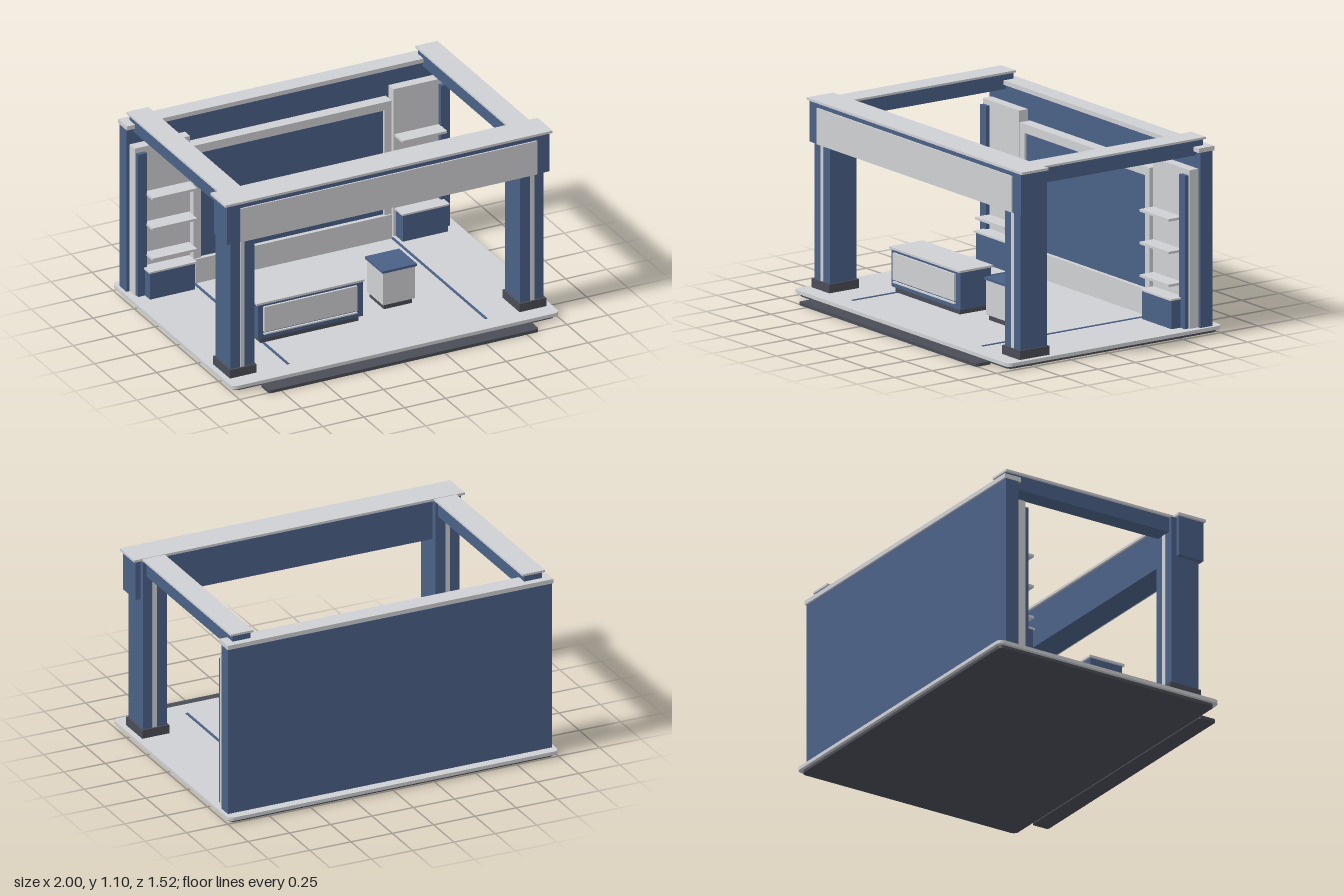
import * as THREE from 'three';

export function createModel() {
  const model = new THREE.Group();
  model.name = 'exhibitionBooth';

  const mat = (name, color) => {
    const m = new THREE.MeshStandardMaterial({ color });
    m.name = name;
    return m;
  };
  const blue = mat('slateBlue', 0x4a6186);
  const light = mat('lightGrey', 0xcfd0d3);
  const dark = mat('charcoal', 0x4a4d56);

  // box given by its minimum and maximum on each axis
  const box = (name, material, x0, x1, y0, y1, z0, z1, parent = model) => {
    const mesh = new THREE.Mesh(new THREE.BoxGeometry(x1 - x0, y1 - y0, z1 - z0), material);
    mesh.position.set((x0 + x1) / 2, (y0 + y1) / 2, (z0 + z1) / 2);
    mesh.name = name;
    parent.add(mesh);
    return mesh;
  };

  // box repeated on both sides of the booth
  const pair = (name, material, x0, x1, ...rest) => {
    box(name + 'Left', material, x0, x1, ...rest);
    box(name + 'Right', material, -x1, -x0, ...rest);
  };

  // flat slab with rounded corners in plan
  const slab = (name, material, x0, x1, y0, y1, z0, z1, r) => {
    const s = new THREE.Shape();
    s.absarc(x1 - r, -z0 - r, r, 0, Math.PI / 2);
    s.absarc(x0 + r, -z0 - r, r, Math.PI / 2, Math.PI);
    s.absarc(x0 + r, -z1 + r, r, Math.PI, Math.PI * 1.5);
    s.absarc(x1 - r, -z1 + r, r, Math.PI * 1.5, Math.PI * 2);
    s.closePath();
    const g = new THREE.ExtrudeGeometry(s, { depth: y1 - y0, bevelEnabled: false, curveSegments: 6 });
    g.rotateX(-Math.PI / 2).translate(0, y0, 0);
    const mesh = new THREE.Mesh(g, material);
    mesh.name = name;
    model.add(mesh);
  };

  // floor, its underside and the front step
  slab('floorDeck', light, -1, 1, 0.02, 0.04, -0.765, 0.67, 0.035);
  slab('floorBase', dark, -0.98, 0.98, 0.003, 0.02, -0.745, 0.65, 0.03);
  slab('frontStep', dark, -0.825, 0.825, 0, 0.018, 0.655, 0.76, 0.015);
  pair('floorStripe', blue, 0.597, 0.613, 0.038, 0.043, -0.56, 0.56);

  // back wall with cap
  box('backWall', blue, -0.98, 0.98, 0.04, 1.03, -0.71, -0.63);
  box('backWallCap', light, -0.985, 0.985, 1.025, 1.05, -0.72, -0.615);

  // display screen, its frame and the low plinth band
  box('displayPanel', blue, -0.57, 0.57, 0.18, 0.83, -0.635, -0.575);
  pair('displayFrameSide', light, 0.56, 0.605, 0.04, 0.82, -0.635, -0.56);
  box('displayFrameTop', light, -0.605, 0.605, 0.82, 0.87, -0.635, -0.56);
  box('displayFrameBase', light, -0.6, 0.6, 0.04, 0.185, -0.635, -0.55);

  // side shelving bays
  pair('shelfPanel', light, 0.622, 0.96, 0.04, 0.93, -0.635, -0.57);
  pair('shelfUpright', blue, 0.897, 0.952, 0.04, 0.9, -0.575, -0.545);
  [0.283, 0.467, 0.65].forEach((y, i) =>
    pair('shelf' + (i + 1), light, 0.628, 0.9, y - 0.007, y + 0.007, -0.575, -0.475));
  pair('cabinet', blue, 0.635, 0.91, 0.04, 0.2, -0.575, -0.487);
  pair('cabinetTop', light, 0.628, 0.917, 0.2, 0.21, -0.575, -0.478);

  // front posts with inlaid light strips
  pair('postBase', dark, 0.803, 0.967, 0.04, 0.09, 0.37, 0.57);
  pair('frontPost', blue, 0.812, 0.957, 0.09, 1.085, 0.382, 0.558);
  pair('postStrip', light, 0.872, 0.899, 0.09, 1.08, 0.379, 0.561);

  // side beams
  pair('sideBeam', blue, 0.828, 0.936, 1.0, 1.087, -0.68, 0.42);
  pair('sideBeamCap', light, 0.815, 0.95, 1.086, 1.098, -0.688, 0.405);

  // front fascia
  box('fascia', blue, -0.985, 0.985, 0.855, 1.086, 0.415, 0.573);
  box('fasciaCap', light, -1, 1, 1.086, 1.1, 0.402, 0.58);
  box('fasciaPanel', light, -0.905, 0.905, 0.857, 1.06, 0.573, 0.582);

  // reception counter
  const counter = new THREE.Group();
  counter.name = 'receptionCounter';
  model.add(counter);
  box('counterKick', dark, -0.62, -0.02, 0.04, 0.07, 0.08, 0.26, counter);
  box('counterBody', blue, -0.64, 0, 0.07, 0.28, 0.065, 0.272, counter);
  box('counterTop', light, -0.652, 0.006, 0.28, 0.292, 0.055, 0.28, counter);
  box('counterFrontPanel', light, -0.61, -0.04, 0.115, 0.265, 0.272, 0.285, counter);
  box('counterTrim', light, -0.61, -0.04, 0.097, 0.105, 0.272, 0.285, counter);

  // small podium
  const podium = new THREE.Group();
  podium.name = 'podium';
  model.add(podium);
  box('podiumKick', dark, 0.165, 0.338, 0.04, 0.07, 0.03, 0.2, podium);
  box('podiumBody', light, 0.155, 0.35, 0.07, 0.266, 0.018, 0.21, podium);
  box('podiumTop', blue, 0.148, 0.358, 0.266, 0.28, 0.008, 0.218, podium);

  return model;
}
